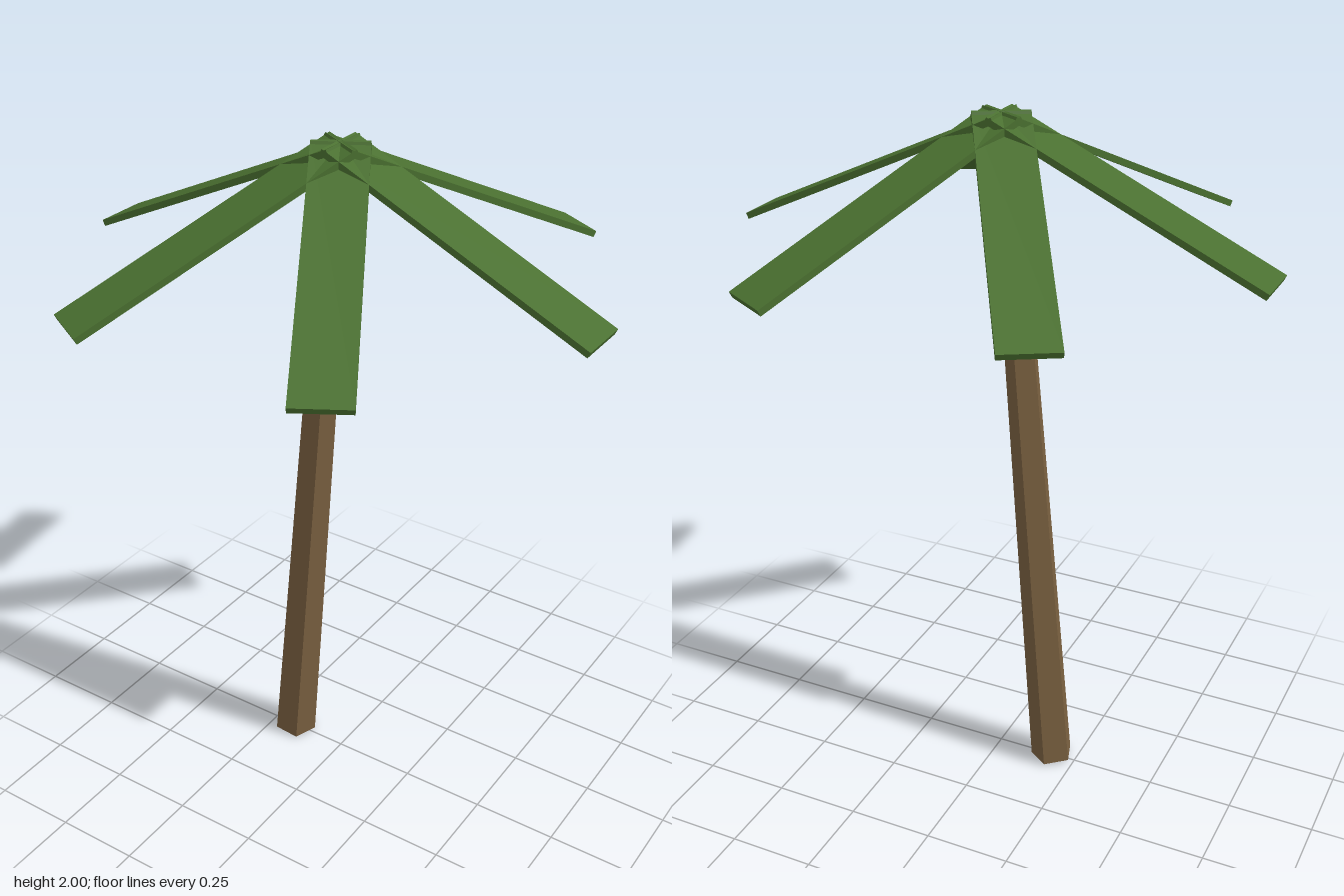
import * as THREE from 'three';

const bark = new THREE.MeshStandardMaterial({ color: 0x7a6040, flatShading: true });
const green = new THREE.MeshStandardMaterial({ color: 0x4a7030, flatShading: true });

export function createModel() {
  const tree = new THREE.Group();
  tree.name = 'palmTree';

  // Tapered five-sided trunk, flat face to the front, leaning towards +x
  const base = new THREE.Vector3(-0.176, 0.006, 0);
  const top = new THREE.Vector3(-0.02, 1.822, 0);
  const trunk = new THREE.Mesh(
    new THREE.CylinderGeometry(0.042, 0.065, base.distanceTo(top), 5, 1, false, Math.PI), bark);
  trunk.name = 'trunk';
  trunk.position.copy(base).lerp(top, 0.5);
  trunk.rotation.z = -Math.atan2(top.x - base.x, top.y - base.y);
  tree.add(trunk);

  // Six drooping plank leaves that cross slightly at the crown
  const crown = new THREE.Group();
  crown.name = 'crown';
  crown.position.y = 1.987;
  const leafShape = new THREE.BoxGeometry(0.843, 0.018, 0.155);
  leafShape.translate(0.843 / 2 - 0.011, 0, 0);
  leafShape.rotateZ(-0.432);
  for (let i = 0; i < 6; i++) {
    const leaf = new THREE.Mesh(leafShape, green);
    leaf.name = `leaf${i + 1}`;
    leaf.rotation.y = (i * Math.PI) / 3;
    crown.add(leaf);
  }
  tree.add(crown);

  return tree;
}
